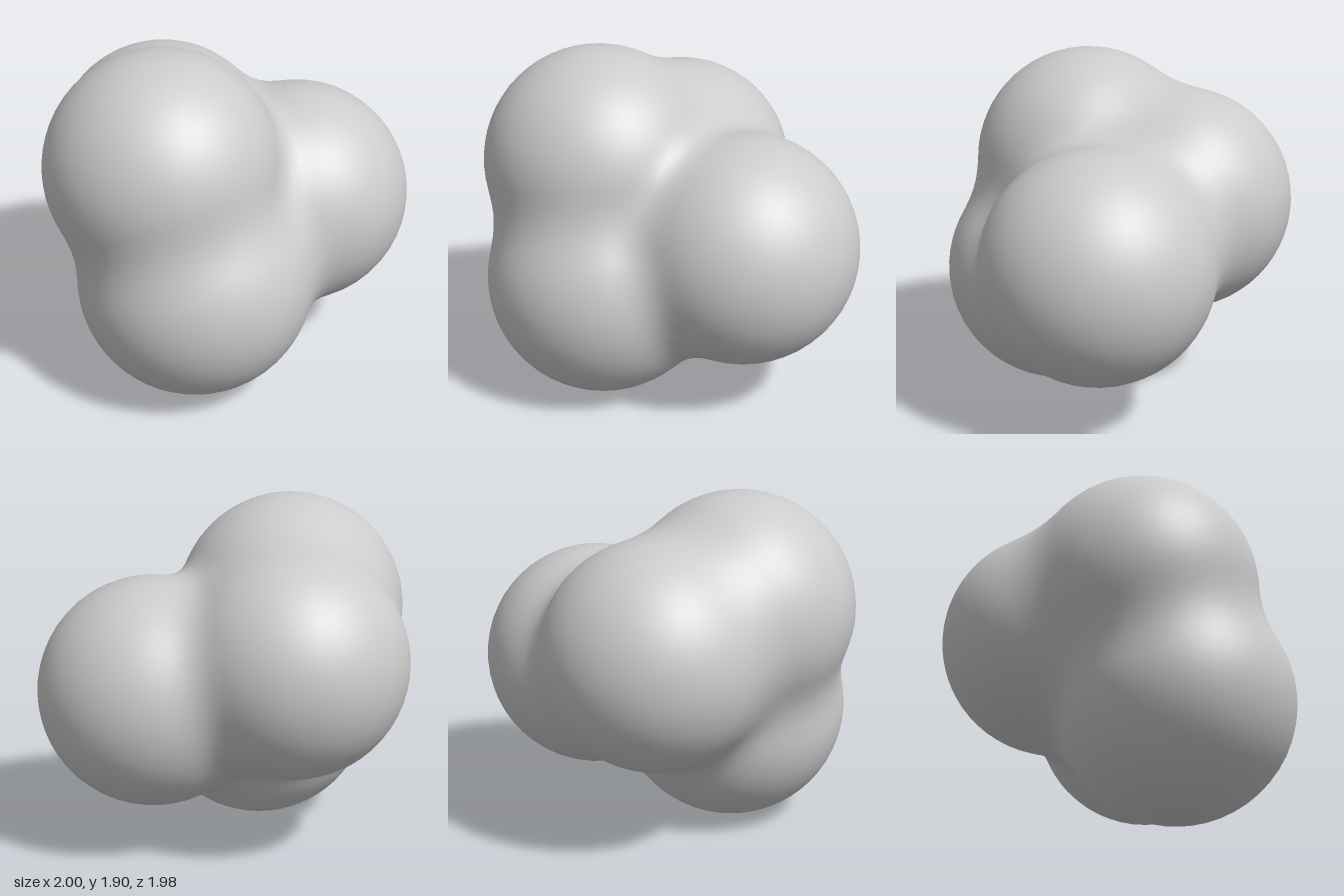
import * as THREE from 'three';
import { mergeVertices } from 'three/addons/utils/BufferGeometryUtils.js';

// Four overlapping lobes: centre and radius
const LOBES = [
  { c: new THREE.Vector3(-0.15, 1.27, 0.32), r: 0.635 }, // upper front
  { c: new THREE.Vector3(0.05, 0.65, 0.34), r: 0.645 }, // lower front
  { c: new THREE.Vector3(0.37, 0.9, -0.37), r: 0.63 }, // rear left
  { c: new THREE.Vector3(-0.38, 1.1, -0.2), r: 0.62 }, // rear right
];
const CORE = new THREE.Vector3(-0.02, 0.98, 0.02);
const BLEND = 0.16;

// Signed distance to the lobes, softly filleted where they meet
function distance(p) {
  return LOBES.map(({ c, r }) => p.distanceTo(c) - r).reduce((a, b) => {
    const h = Math.max(BLEND - Math.abs(a - b), 0) / BLEND;
    return Math.min(a, b) - h * h * BLEND * 0.25;
  });
}

// Point where a ray from the core leaves the blob
function surfacePoint(dir) {
  const p = new THREE.Vector3();
  let near = 0, far = 2;
  for (let i = 0; i < 24; i++) {
    const t = (near + far) / 2;
    p.copy(CORE).addScaledVector(dir, t);
    if (distance(p) < 0) near = t; else far = t;
  }
  return p;
}

export function createModel() {
  const group = new THREE.Group();
  group.name = 'lobedBlob';

  // Sphere pushed out to the blended surface
  let geometry = new THREE.IcosahedronGeometry(1, 15);
  geometry.deleteAttribute('normal');
  geometry.deleteAttribute('uv');
  geometry = mergeVertices(geometry, 1e-4);
  const pos = geometry.attributes.position;
  const dir = new THREE.Vector3();
  for (let i = 0; i < pos.count; i++) {
    const p = surfacePoint(dir.fromBufferAttribute(pos, i).normalize());
    pos.setXYZ(i, p.x, p.y, p.z);
  }
  geometry.computeVertexNormals();

  const body = new THREE.Mesh(geometry, new THREE.MeshStandardMaterial({ color: 0xcccccc }));
  body.name = 'body';
  group.add(body);
  return group;
}
